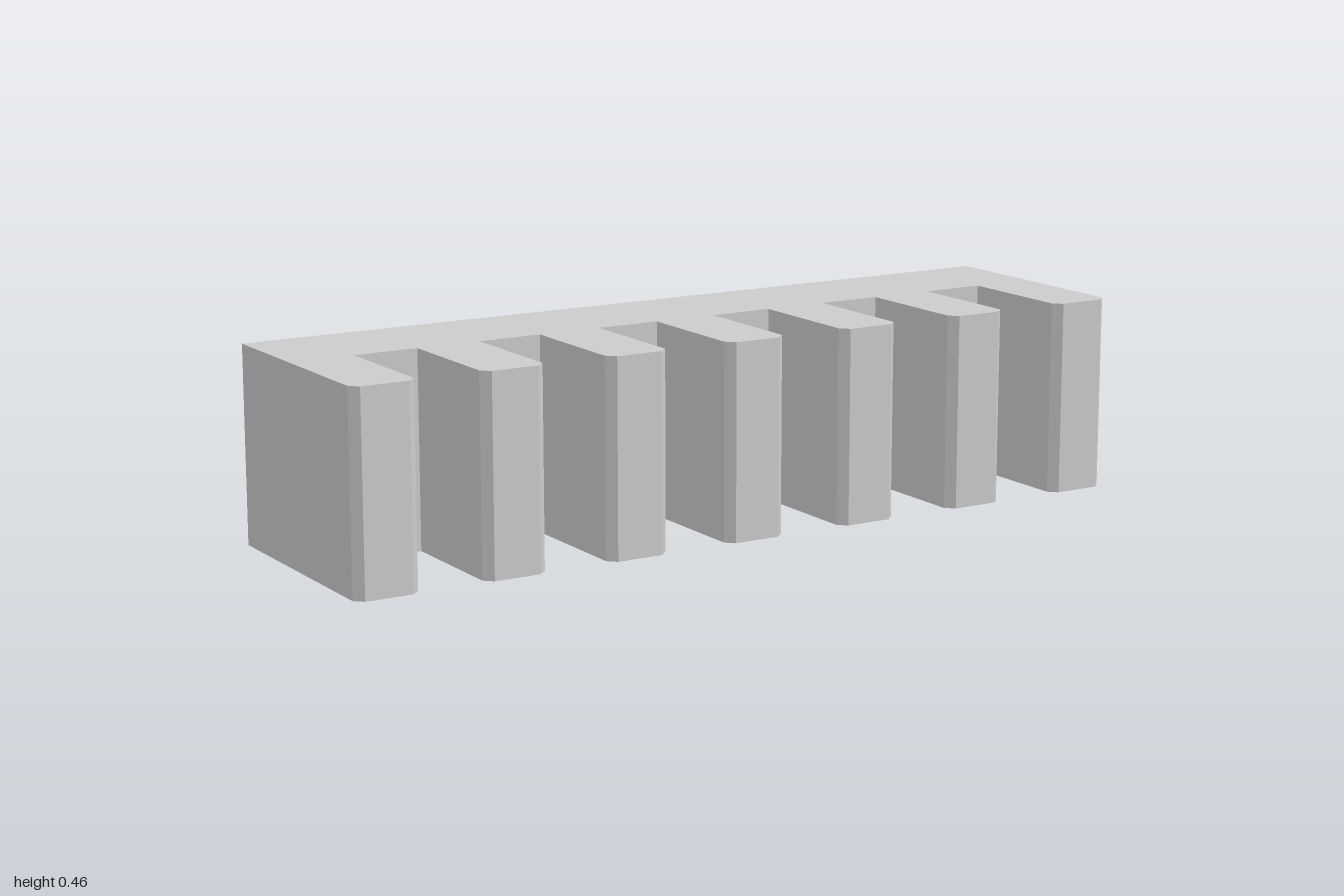
import * as THREE from 'three';

const TEETH = 7;
const PITCH = 2 / (2 * TEETH - 1); // tooth and gap share one width
const HEIGHT = 0.462;
const HALF_DEPTH = 0.2815;
const GAP_FLOOR = -0.03; // z of the wall between teeth
const CHAMFER = 0.02;

export function createModel() {
  const group = new THREE.Group();
  group.name = 'toothedBlock';

  // Plan outline, drawn with shape y = -z
  const shape = new THREE.Shape();
  shape.moveTo(-1, HALF_DEPTH);
  for (let i = 0; i < TEETH; i++) {
    const x0 = -1 + 2 * i * PITCH;
    const x1 = x0 + PITCH;
    if (i > 0) shape.lineTo(x0, -GAP_FLOOR);
    // Tooth with chamfered front corners
    shape.lineTo(x0, -HALF_DEPTH + CHAMFER);
    shape.lineTo(x0 + CHAMFER, -HALF_DEPTH);
    shape.lineTo(x1 - CHAMFER, -HALF_DEPTH);
    shape.lineTo(x1, -HALF_DEPTH + CHAMFER);
    if (i < TEETH - 1) shape.lineTo(x1, -GAP_FLOOR);
  }
  shape.lineTo(1, HALF_DEPTH);
  shape.closePath();

  // Stand the outline up as a solid block
  const geometry = new THREE.ExtrudeGeometry(shape, { depth: HEIGHT, bevelEnabled: false });
  geometry.rotateX(-Math.PI / 2);

  const material = new THREE.MeshStandardMaterial({ color: 0xcccccc, flatShading: true });
  const rack = new THREE.Mesh(geometry, material);
  rack.name = 'toothedRack';
  group.add(rack);
  return group;
}
